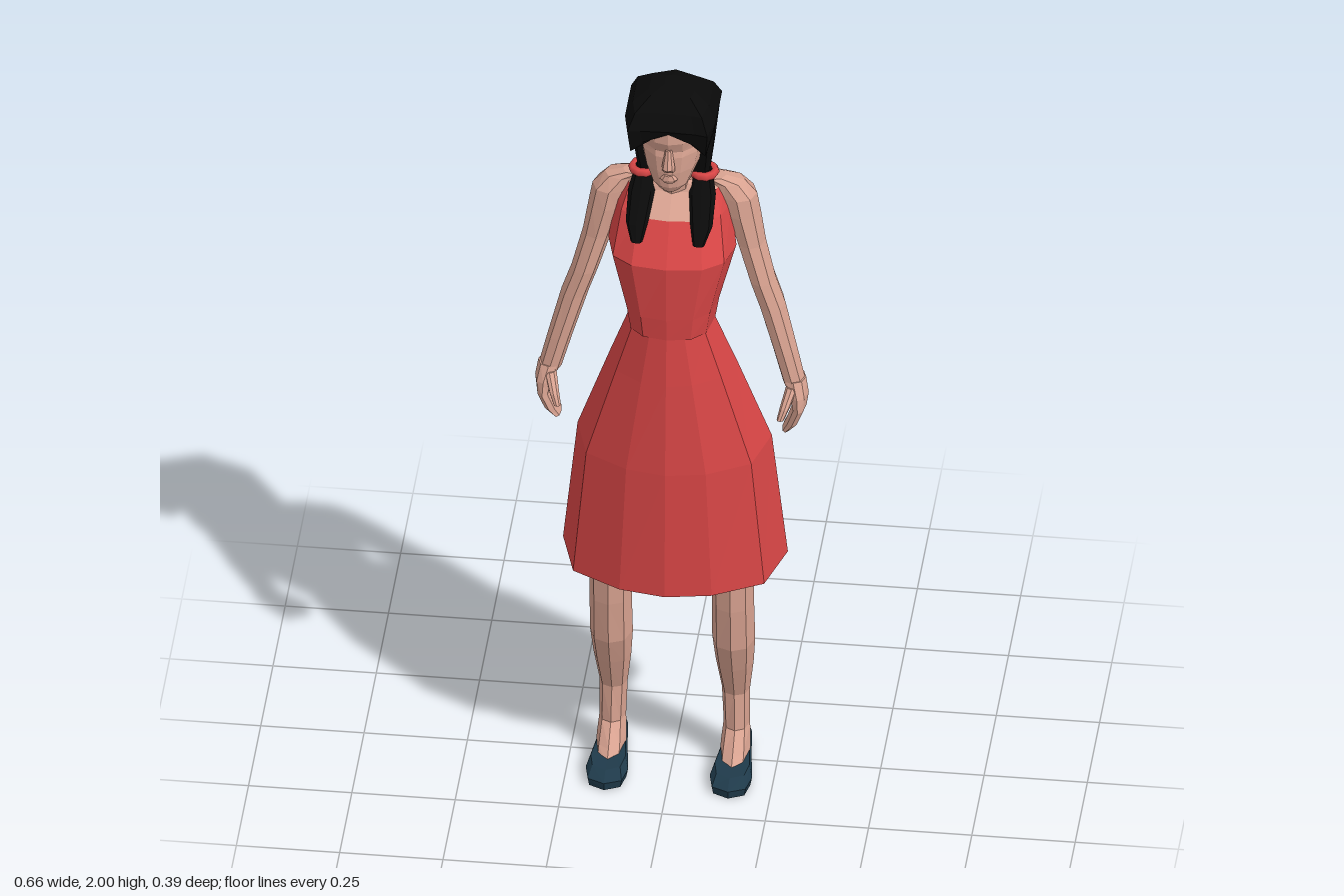
import * as THREE from 'three';

const mat = (name, color, side = THREE.FrontSide) => {
  const m = new THREE.MeshStandardMaterial({ color, side });
  m.name = name;
  return m;
};

// Half outlines (u, v) from front to back; mirrored into closed rings
const ROUND = [[0, 1], [0.7, 0.75], [1, 0], [0.7, -0.75], [0, -1]];
const SKIRT = [[0, 1], [0.41, 0.9], [0.85, 0.57], [1, -0.15], [0.7, -0.77], [0.32, -0.945], [0, -1]];
const BODICE = [[0, 1], [0.55, 0.9], [0.87, 0.57], [1, -0.15], [0.72, -0.77], [0.32, -0.95], [0, -1]];
const FACE = [[0, 1], [0.42, 0.9], [0.86, 0.5], [1, 0], [0.6, -0.8], [0, -1]];
const HAIR = [[0, 0.93], [0.6, 0.95], [0.88, 1], [1, 0.45], [1, -0.62], [0, -1]];
const SHOE = [[0, 1], [0.8, 0.86], [1, 0.5], [0.75, -0.3], [0.6, -0.9], [0, -1]];

// Flat-faced loft, bottom to top. Section: [centre x, y, half width, front z, back z, lifts by outline point]
function loft(half, sections, { s = 1, bottom = true, top = true, pick = () => 0 } = {}) {
  const last = half.length - 1;
  const outline = half.map(([u, v], i) => [u, v, i]);
  for (let i = last - 1; i > 0; i--) outline.push([-half[i][0], half[i][1], i]);
  const n = outline.length;
  const rings = sections.map(([cx, y, hx, zf, zb, lift]) => outline.map(([u, v, i]) =>
    [s * (cx + u * hx), y + (lift ? lift[i] || 0 : 0), (zf + zb) / 2 + v * (zf - zb) / 2]));
  const buckets = [[], []];
  const tri = (k, a, b, c) => buckets[k].push(...a, ...(s > 0 ? b : c), ...(s > 0 ? c : b));
  for (let r = 0; r < rings.length - 1; r++) {
    for (let i = 0; i < n; i++) {
      const j = (i + 1) % n, A = rings[r], B = rings[r + 1], k = pick(r, i, n);
      tri(k, A[i], A[j], B[j]);
      tri(k, A[i], B[j], B[i]);
    }
  }
  const cap = (ring, up) => {
    const c = [0, 1, 2].map(a => ring.reduce((t, p) => t + p[a], 0) / n);
    ring.forEach((p, i) => {
      const q = ring[(i + 1) % n];
      if (up) tri(0, c, p, q); else tri(0, c, q, p);
    });
  };
  if (bottom) cap(rings[0], false);
  if (top) cap(rings[rings.length - 1], true);
  const g = new THREE.BufferGeometry();
  g.setAttribute('position', new THREE.Float32BufferAttribute(buckets.flat(), 3));
  if (buckets[1].length) {
    g.addGroup(0, buckets[0].length / 3, 0);
    g.addGroup(buckets[0].length / 3, buckets[1].length / 3, 1);
  }
  g.computeVertexNormals();
  return g;
}

// Tube section: centre x, y, centre z, radius x, radius z
const t = (x, y, z, rx, rz) => [x, y, rx, z + rz, z - rz];

export function createModel() {
  const model = new THREE.Group();
  const skin = mat('skin', 0xd9a391);
  const red = mat('red cloth', 0xd94646, THREE.DoubleSide);
  const black = mat('black hair', 0x0a0a0a);
  const navy = mat('navy shoe', 0x1f3a4a);
  const add = (name, geometry, material, parent = model) => {
    const mesh = new THREE.Mesh(geometry, material);
    mesh.name = name;
    parent.add(mesh);
    return mesh;
  };

  // Dress
  add('skirt', loft(SKIRT, [
    [0, 0.6, 0.272, 0.195, -0.195],
    [0, 0.95, 0.235, 0.185, -0.162],
    [0, 1.2, 0.15, 0.168, -0.09],
    [0, 1.33, 0.105, 0.157, -0.04],
  ], { bottom: false, top: false }), red);
  add('bodice', loft(BODICE, [
    [0, 1.33, 0.105, 0.157, -0.04],
    [0, 1.39, 0.115, 0.16, -0.04],
    [0, 1.54, 0.155, 0.163, -0.06],
    [0, 1.64, 0.138, 0.1, -0.07],
    [0, 1.69, 0.12, 0.045, -0.06],
  ], { bottom: false, top: false, pick: (r, i, n) => (r === 3 && (i === 0 || i === n - 1) ? 1 : 0) }), [red, skin]);

  // Shoulders, neck and head
  add('shoulders', loft(BODICE, [[0, 1.69, 0.12, 0.045, -0.06], [0, 1.715, 0.06, 0.035, -0.045]]), skin);
  add('neck', loft(ROUND, [t(0, 1.66, 0.0, 0.048, 0.045), t(0, 1.79, 0.02, 0.044, 0.045)]), skin);
  add('face', loft(FACE, [
    [0, 1.727, 0.025, 0.098, 0.045],
    [0, 1.745, 0.046, 0.108, 0.01],
    [0, 1.79, 0.066, 0.113, -0.03],
    [0, 1.835, 0.076, 0.114, -0.05],
    [0, 1.85, 0.077, 0.11, -0.05],
    [0, 1.88, 0.08, 0.122, -0.06],
    [0, 1.925, 0.08, 0.12, -0.06],
  ]), skin);
  add('nose', loft(ROUND, [
    t(0, 1.8, 0.112, 0.016, 0.012), t(0, 1.814, 0.117, 0.016, 0.022), t(0, 1.86, 0.11, 0.008, 0.01),
  ]), skin);
  add('lips', loft(ROUND, [
    t(0, 1.762, 0.106, 0.014, 0.008), t(0, 1.772, 0.108, 0.022, 0.011), t(0, 1.785, 0.108, 0.012, 0.01),
  ]), skin);

  // Hair
  add('hairCap', loft(HAIR, [
    [0, 1.885, 0.103, 0.128, -0.092, [0.025, 0.0, -0.025]],
    [0, 1.925, 0.11, 0.14, -0.1],
    [0, 1.965, 0.092, 0.118, -0.072],
    [0, 1.99, 0.055, 0.075, -0.04],
    [0, 2.0, 0.02, 0.035, -0.005],
  ]), black);
  add('hairBack', loft(HAIR, [
    [0, 1.725, 0.086, 0.02, -0.032],
    [0, 1.8, 0.095, 0.042, -0.058],
    [0, 1.89, 0.104, 0.07, -0.094],
  ]), black);

  for (const [s, side] of [[1, 'left'], [-1, 'right']]) {
    const part = (name, half, sections, material) => add(side + name, loft(half, sections, { s }), material);

    // Pigtail and its band
    part('Pigtail', ROUND, [
      t(0.075, 1.6, 0.135, 0.014, 0.008),
      t(0.078, 1.635, 0.1, 0.027, 0.018),
      t(0.073, 1.69, 0.04, 0.033, 0.022),
      t(0.072, 1.735, 0.0, 0.02, 0.022),
    ], black);
    const band = add(side + 'HairBand', new THREE.TorusGeometry(0.027, 0.011, 6, 10), red);
    band.rotation.x = Math.PI / 2;
    band.position.set(s * 0.073, 1.728, 0.002);

    // Arm from wrist to shoulder
    part('Arm', ROUND, [
      t(0.296, 1.15, 0.035, 0.028, 0.032),
      t(0.272, 1.24, 0.025, 0.03, 0.037),
      t(0.238, 1.36, 0.008, 0.033, 0.046),
      t(0.214, 1.43, 0.003, 0.033, 0.047),
      t(0.185, 1.53, -0.012, 0.036, 0.05),
      t(0.165, 1.61, -0.018, 0.043, 0.052),
      t(0.155, 1.66, -0.018, 0.044, 0.048),
      t(0.125, 1.695, -0.018, 0.045, 0.035),
      t(0.09, 1.71, -0.012, 0.035, 0.025),
    ], skin);

    // Hand with curled fingers and thumb
    part('Hand', ROUND, [
      t(0.277, 1.02, 0.04, 0.01, 0.03),
      t(0.293, 1.045, 0.042, 0.016, 0.038),
      t(0.309, 1.09, 0.045, 0.017, 0.044),
      t(0.307, 1.125, 0.042, 0.024, 0.042),
      t(0.296, 1.165, 0.035, 0.028, 0.032),
    ], skin);
    part('Thumb', ROUND, [
      t(0.27, 1.085, 0.108, 0.009, 0.01),
      t(0.279, 1.11, 0.092, 0.012, 0.015),
      t(0.293, 1.15, 0.055, 0.015, 0.018),
    ], skin);

    // Leg
    part('Leg', ROUND, [
      t(0.15, 0.025, 0.025, 0.036, 0.085),
      t(0.15, 0.055, 0.005, 0.036, 0.07),
      t(0.15, 0.1, -0.018, 0.032, 0.045),
      t(0.148, 0.2, -0.016, 0.034, 0.037),
      t(0.148, 0.3, 0.01, 0.046, 0.052),
      t(0.148, 0.38, 0.03, 0.052, 0.062),
      t(0.148, 0.5, 0.045, 0.051, 0.058),
      t(0.147, 0.62, 0.047, 0.053, 0.06),
      t(0.11, 1.0, 0.04, 0.07, 0.08),
    ], skin);

    // Flat shoe
    part('Shoe', SHOE, [
      [0.15, 0, 0.047, 0.168, -0.082],
      [0.15, 0.02, 0.051, 0.17, -0.084, [0, 0, 0.002, 0.01, 0.012, 0.012]],
      [0.15, 0.036, 0.042, 0.135, -0.08, [0, 0.002, 0.006, 0.008, 0.013, 0.013]],
    ], navy);
  }
  return model;
}
